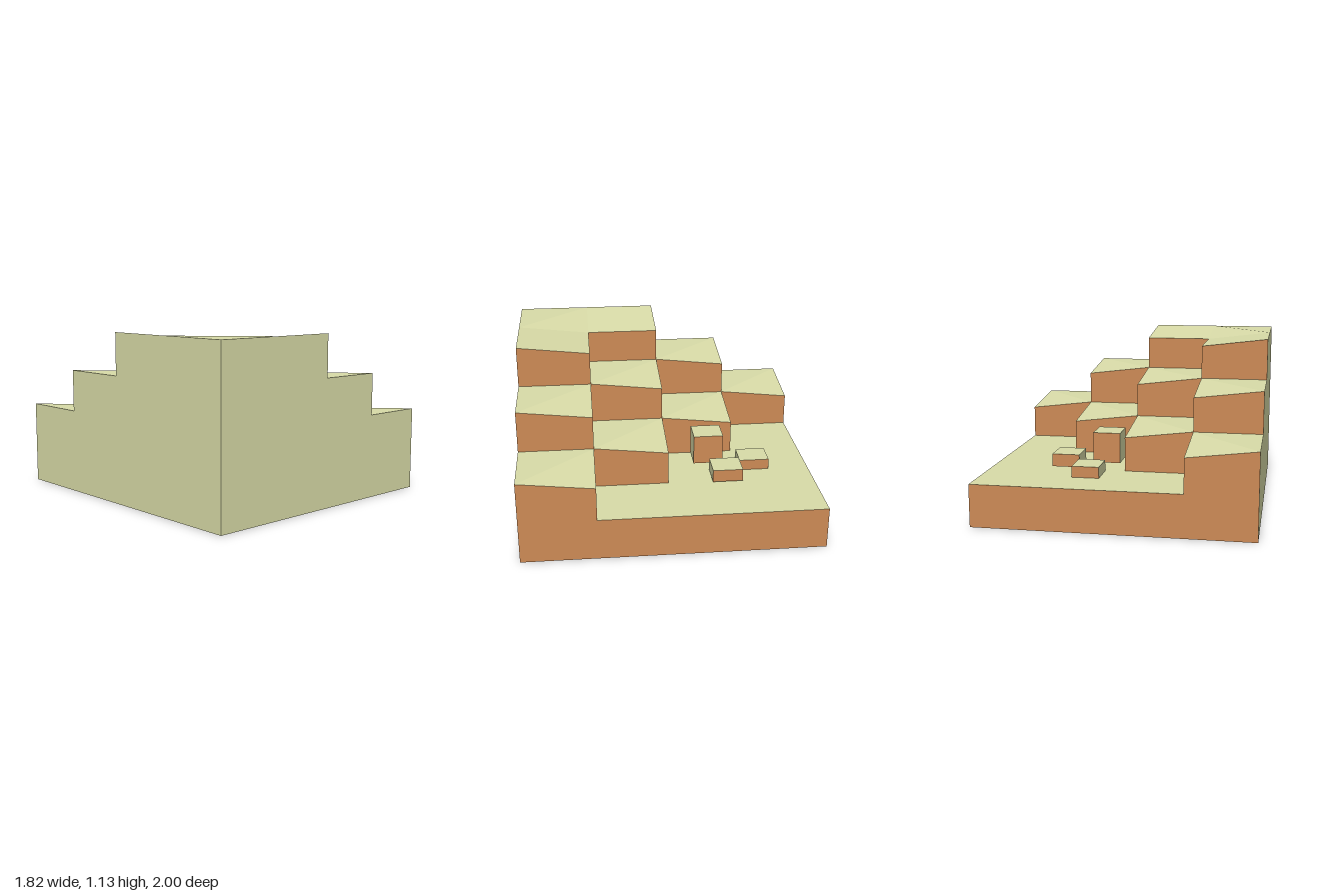
import * as THREE from 'three';

const W = 0.455, D = 0.5;          // cell size in x and z
const STEP = 0.2815, DROP = 0.055; // layer height, sag of the outer corners

export function createModel() {
  const group = new THREE.Group();
  const earth = new THREE.MeshStandardMaterial({ color: 0xcd8b56, flatShading: true });
  const grass = new THREE.MeshStandardMaterial({ color: 0xd9dca8, flatShading: true });
  // earth on the right (+x) and back sides, grass everywhere else
  const materials = [earth, grass, grass, grass, grass, earth];

  // Block between two corners; sags(right, back) tells which top corners are lowered
  function block(name, [x0, y0, z0], [x1, y1, z1], sags) {
    const geo = new THREE.BoxGeometry(x1 - x0, y1 - y0, z1 - z0);
    if (sags) {
      const p = geo.attributes.position;
      for (let i = 0; i < p.count; i++) {
        if (p.getY(i) > 0 && sags(p.getX(i) > 0, p.getZ(i) < 0)) p.setY(i, p.getY(i) - DROP);
      }
      // fold the top from back left to front right
      [8, 10, 11, 8, 11, 9].forEach((v, k) => geo.index.setX(12 + k, v));
      geo.computeVertexNormals();
    }
    const mesh = new THREE.Mesh(geo, materials);
    mesh.name = name;
    mesh.position.set((x0 + x1) / 2, (y0 + y1) / 2, (z0 + z1) / 2);
    group.add(mesh);
  }

  // Ground slab
  block('groundSlab', [-2 * W, 0, -1], [2 * W, STEP, 1]);

  // Terraced hill: columns step down away from the front left corner
  for (let i = 0; i < 4; i++) {
    for (let j = 0; j < 4 - i; j++) {
      const layers = Math.min(3, 4 - i - j);
      let sags = (right, back) => right && back;
      if (i === 1 && j === 0) sags = (right, back) => back;
      if (i === 0 && j === 1) sags = (right) => right;
      const x = -2 * W + i * W, z = 1 - j * D;
      block('terraceColumn', [x, STEP, z - D], [x + W, STEP * (layers + 1), z], sags);
    }
  }

  // Loose stones on the lower ground
  block('stoneBack', [0.13, 0.28, -0.72], [0.31, 0.355, -0.515]);
  block('stoneOuter', [0.31, 0.295, -0.505], [0.495, 0.38, -0.3]);
  block('stoneTall', [0.05, 0.31, -0.405], [0.235, 0.515, -0.2]);

  return group;
}
